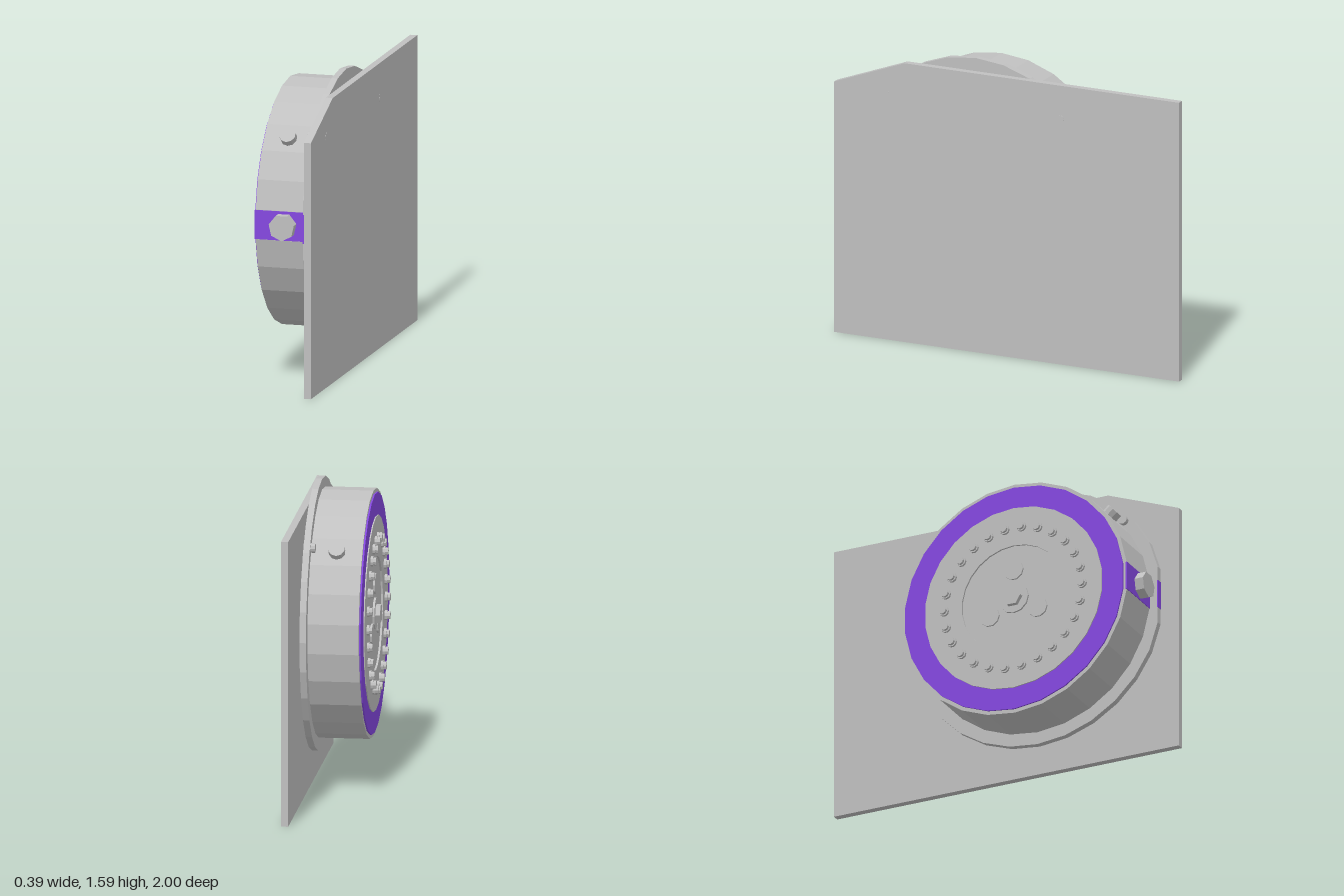
import * as THREE from 'three';

const SIDES = 26;
const CY = 0.88, CZ = 0.197; // drum axis, parallel to x

export function createModel() {
  const model = new THREE.Group();
  const grey = new THREE.MeshStandardMaterial({ color: 0xc0c0c0, flatShading: true });
  grey.name = 'grey metal';
  const purple = new THREE.MeshStandardMaterial({ color: 0x8548e0, flatShading: true });
  purple.name = 'purple paint';

  const add = (name, geometry, material, parent = model) => {
    const mesh = new THREE.Mesh(geometry, material);
    mesh.name = name;
    parent.add(mesh);
    return mesh;
  };
  // Turned part about the drum axis; profile points are [radius, distance towards -x]
  const turned = (name, profile, material, sides = SIDES) => {
    const pts = profile.map(([r, h]) => new THREE.Vector2(r, h));
    const mesh = add(name, new THREE.LatheGeometry(pts, sides, Math.PI / sides), material);
    mesh.rotation.z = Math.PI / 2;
    mesh.position.set(0, CY, CZ);
    return mesh;
  };
  // Cylinder along x from x0 (inner) to x1 (towards -x), offset from the drum axis
  const pin = (name, r, x0, x1, y, z, sides) => {
    const mesh = add(name, new THREE.CylinderGeometry(r, r, Math.abs(x0 - x1), sides), grey);
    mesh.rotation.z = Math.PI / 2;
    mesh.position.set((x0 + x1) / 2, CY + y, CZ + z);
    return mesh;
  };
  // Outline in (z, y), extruded from xMax towards -x
  const slab = (name, points, xMax, depth) => {
    const shape = new THREE.Shape(points.map(([z, y]) => new THREE.Vector2(z, y)));
    const geometry = new THREE.ExtrudeGeometry(shape, { depth, bevelEnabled: false });
    const mesh = add(name, geometry, grey);
    mesh.rotation.y = -Math.PI / 2;
    mesh.position.x = xMax;
    return mesh;
  };

  // Mounting plate with one clipped top corner
  slab('mountingPlate', [[-1, 0], [1, 0], [1, 1.365], [0.59, 1.52], [-1, 1.52]], 0.19, 0.038);

  // Flange, trimmed flat on its front edge
  const rim = [];
  for (let i = 0; i < 28; i++) {
    const a = (i / 28) * Math.PI * 2;
    rim.push([Math.min(CZ + 0.72 * Math.cos(a), 0.895), 0.874 + 0.717 * Math.sin(a)]);
  }
  slab('flange', rim, 0.15, 0.034);

  // Drum, coloured ring and recessed face
  turned('drum', [[0, -0.118], [0.655, -0.118], [0.655, 0.153], [0, 0.153]], grey);
  turned('faceRing', [[0.635, 0.153], [0.635, 0.161], [0.5, 0.161]], purple);
  turned('facePlate', [[0.515, 0.153], [0.515, 0.167], [0.3, 0.167], [0.3, 0.157], [0, 0.157]], grey);

  // Painted band across the front of the drum and flange
  const band = add('frontBand', new THREE.BoxGeometry(0.275, 0.155, 0.008), purple);
  band.position.set(-0.02, CY, 0.847);
  const bandEnd = add('frontBandOnFlange', new THREE.BoxGeometry(0.036, 0.155, 0.006), purple);
  bandEnd.position.set(0.134, CY, 0.894);

  // Circle of face studs
  for (let i = 0; i < SIDES; i++) {
    const a = (i / SIDES) * Math.PI * 2;
    const y = 0.4 * Math.sin(a), z = 0.4 * Math.cos(a);
    pin('studBase', 0.027, -0.16, -0.18, y, z, 10);
    pin('studHead', 0.021, -0.18, -0.195, y, z, 8);
  }

  // Centre hub and three face caps
  pin('hubWasher', 0.085, -0.155, -0.168, 0, 0, 12);
  pin('hubNut', 0.052, -0.165, -0.193, 0, 0, 6);
  for (let i = 0; i < 3; i++) {
    const a = Math.PI / 2 + (i * Math.PI * 2) / 3;
    pin('faceCap', 0.055, -0.155, -0.167, 0.16 * Math.sin(a), 0.16 * Math.cos(a), 10);
  }

  // Front plug
  const plug = add('frontPlug', new THREE.CylinderGeometry(0.07, 0.07, 0.06, 7), grey);
  plug.rotation.x = Math.PI / 2;
  plug.position.set(0, CY, 0.87);

  // Radial drum bolts and flange fixing pins, front and back
  for (const s of [1, -1]) {
    const a = (3 * Math.PI * 2) / SIDES;
    const dir = new THREE.Vector3(0, Math.sin(a), s * Math.cos(a));
    const bolt = add('drumBolt', new THREE.CylinderGeometry(0.044, 0.044, 0.06, 10), grey);
    bolt.quaternion.setFromUnitVectors(new THREE.Vector3(0, 1, 0), dir);
    bolt.position.set(-0.02, CY, CZ).addScaledVector(dir, 0.66);
    pin('flangePin', 0.025, 0.191, 0.092, 0.455, s * 0.505, 10);
  }

  return model;
}
